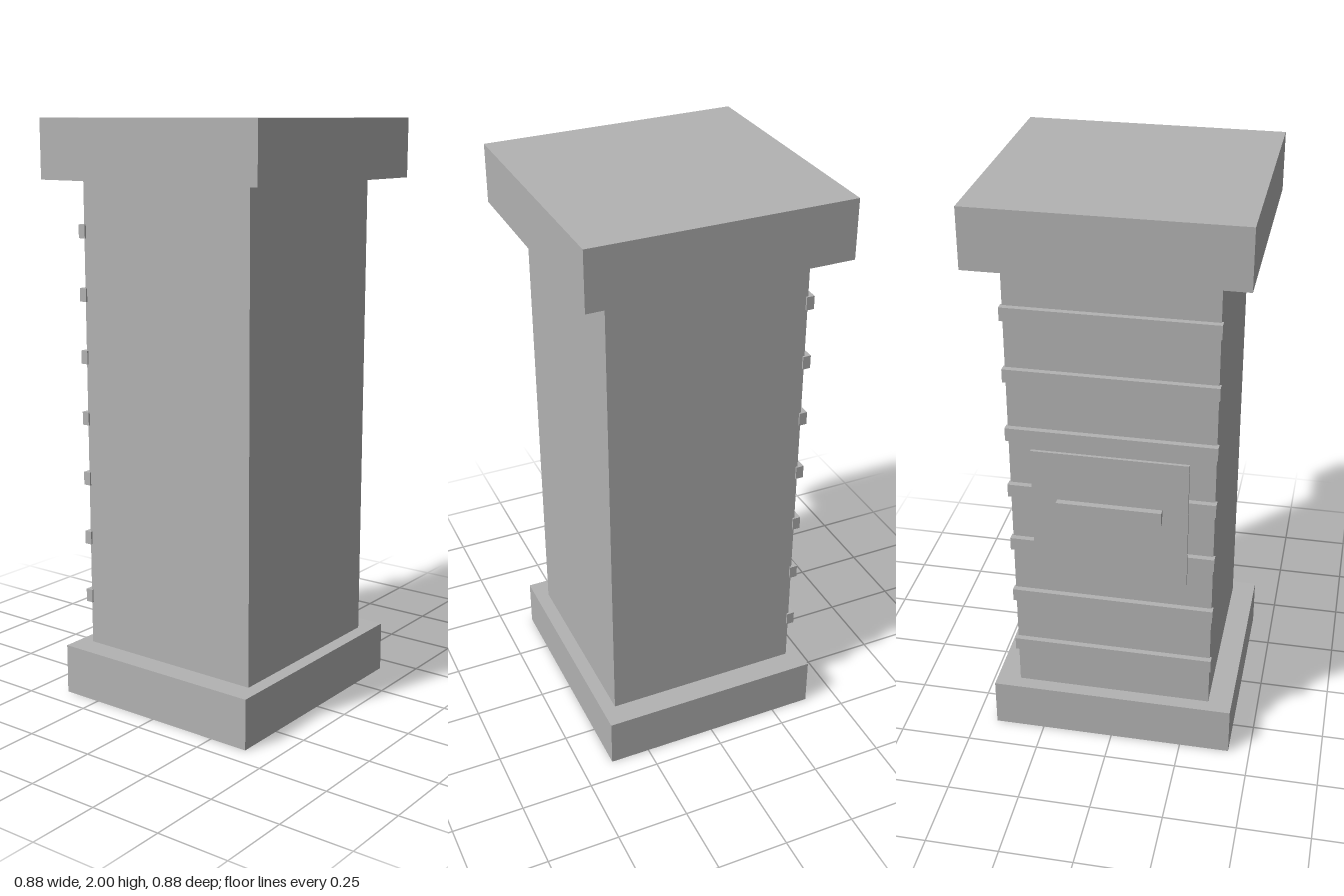
import * as THREE from 'three';

export function createModel() {
  const model = new THREE.Group();
  model.name = 'pillar';

  const stone = new THREE.MeshStandardMaterial({ color: 0xb2b2b2 });
  stone.name = 'plain grey';

  // Box given by its centre x = 0, its size and its y and z ranges
  function addBlock(name, width, y0, y1, z0, z1) {
    const mesh = new THREE.Mesh(new THREE.BoxGeometry(width, y1 - y0, z1 - z0), stone);
    mesh.name = name;
    mesh.position.set(0, (y0 + y1) / 2, (z0 + z1) / 2);
    model.add(mesh);
  }

  // Plinth, shaft and cap
  addBlock('base', 0.85, 0, 0.175, -0.39, 0.39);
  addBlock('shaft', 0.684, 0.175, 1.8, -0.342, 0.342);
  addBlock('cap', 0.88, 1.8, 2, -0.44, 0.44);

  // Seven horizontal slats across the back
  for (let i = 0; i < 7; i++) {
    const y = 0.347 + i * 0.2135;
    addBlock('slat' + (i + 1), 0.696, y - 0.023, y + 0.023, -0.362, -0.335);
  }

  // Access panel standing just off the slats, with its handle
  addBlock('panel', 0.52, 0.695, 1.16, -0.381, -0.37);
  addBlock('handle', 0.35, 0.937, 0.985, -0.403, -0.38);

  return model;
}
